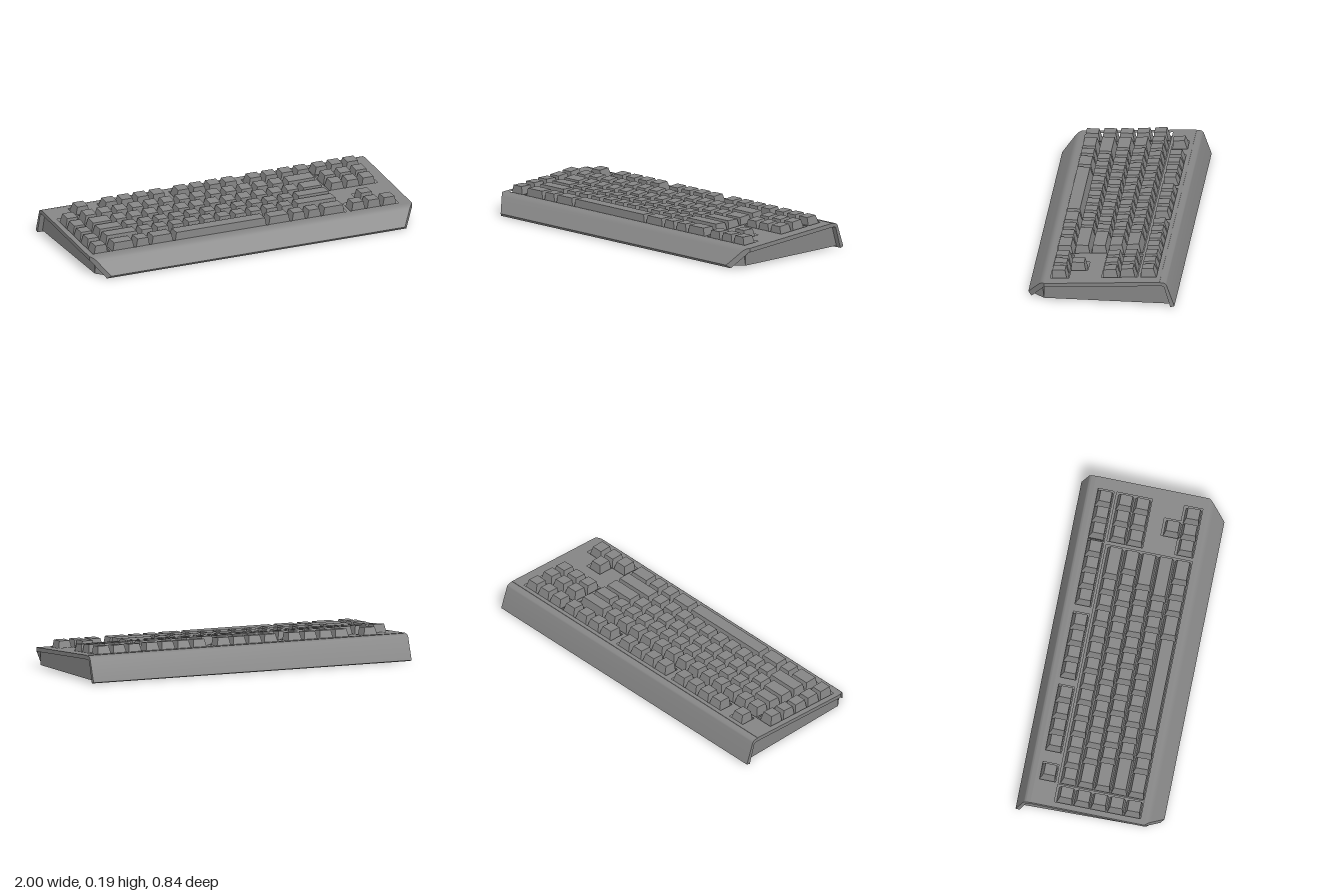
import * as THREE from 'three';
import { toCreasedNormals } from 'three/addons/utils/BufferGeometryUtils.js';

const mat = new THREE.MeshStandardMaterial({ color: 0x858585 });
const U = 0.0966;                       // pitch of one key
const X0 = -0.846, MACRO = -0.962, NAV = 0.634;
const FKEYS = [-0.668, -0.222, 0.226], FU = 0.0985;
const FRONT = 0.32, BACK = -0.31;       // ends of the flat deck
const deckY = z => 0.134 - 0.0625 * z;  // sloping deck surface
const THICK = 0.0235;

// rows: cell start z, then top face back/front z and back/front y
const rows = [
  { z: -0.320, top: [-0.290, -0.224, 0.195, 0.190] },
  { z: -0.198, top: [-0.174, -0.106, 0.189, 0.182] },
  { z: -0.100, top: [-0.077, -0.008, 0.179, 0.172] },
  { z: -0.003, top: [0.016, 0.087, 0.169, 0.169] },
  { z: 0.094, top: [0.113, 0.183, 0.165, 0.165] },
  { z: 0.191, top: [0.212, 0.283, 0.158, 0.158] },
];
const ones = n => Array(n).fill(1);
const mainRows = [
  null,
  [...ones(13), 2],
  [1.5, ...ones(12), 1.5],
  [1.75, ...ones(11), 2.25],
  [2.25, ...ones(10), 2.75],
  [1.5, 1, 1.5, 6, 1.5, 1, 1, 1.5],
];

function editVertices(geo, rule) {
  const p = geo.attributes.position, v = new THREE.Vector3();
  for (let i = 0; i < p.count; i++) {
    rule(v.fromBufferAttribute(p, i));
    p.setXYZ(i, v.x, v.y, v.z);
  }
  geo.computeVertexNormals();
  return geo;
}

function addMesh(parent, name, geo) {
  const mesh = new THREE.Mesh(geo, mat);
  mesh.name = name;
  parent.add(mesh);
}

// side profile (z, y) swept across the width, front corners cut off by the taper
function sweep(shape, halfWidth, taper) {
  const geo = new THREE.ExtrudeGeometry(shape, { depth: 2, bevelEnabled: false, curveSegments: 6 });
  geo.rotateY(-Math.PI / 2).translate(1, 0, 0);
  editVertices(geo, v => {
    v.x *= halfWidth - Math.max(0, v.z - FRONT) * taper;
  });
  return toCreasedNormals(geo, 0.6);
}

// flat sloping deck with wells for the key blocks
function deckGeometry() {
  const rect = (Type, x0, x1, z0, z1) => {
    const s = new Type();
    s.moveTo(x0, -z0).lineTo(x1, -z0).lineTo(x1, -z1).lineTo(x0, -z1).closePath();
    return s;
  };
  const pad = 0.005;
  const shape = rect(THREE.Shape, -1, 1, BACK - 0.025, FRONT);
  const well = (x0, x1, z0, z1) =>
    shape.holes.push(rect(THREE.Path, x0 - pad, x1 + pad, z0 - pad, z1 + pad));
  const f0 = rows[0].z, f1 = f0 + U, end = rows[5].z + U;
  well(X0, X0 + U, f0, f1);
  FKEYS.forEach(x => well(x, x + 4 * FU, f0, f1));
  well(NAV, NAV + 3 * U, f0, f1);
  well(NAV, NAV + 3 * U, rows[1].z, rows[2].z + U);
  well(MACRO, MACRO + U, rows[1].z, end);
  well(X0, X0 + 15 * U, rows[1].z, end);
  well(NAV + U, NAV + 2 * U, rows[4].z, rows[5].z - 0.011);
  well(NAV, NAV + 3 * U, rows[5].z, end);
  const geo = new THREE.ExtrudeGeometry(shape, { depth: THICK, bevelEnabled: false });
  geo.rotateX(-Math.PI / 2);
  return editVertices(geo, v => { v.y += deckY(v.z) - THICK; });
}

// tapered keycap standing in its well
function keyGeometry(x, width, row) {
  const [zb, zf, yb, yf] = row.top;
  return editVertices(new THREE.BoxGeometry(2, 2, 2), v => {
    const up = v.y > 0, front = v.z > 0;
    v.x = x + width / 2 + v.x * (width / 2 - (up ? 0.016 : 0.003));
    v.z = up ? (front ? zf : zb) : row.z + (front ? U - 0.001 : 0.005);
    v.y = up ? (front ? yf : yb) : deckY(v.z) - THICK - 0.003;
  });
}

export function createModel() {
  const model = new THREE.Group();
  model.name = 'keyboard';

  const shell = new THREE.Group();
  shell.name = 'topShell';
  model.add(shell);
  addMesh(shell, 'deck', deckGeometry());

  // front apron sloping down to the desk
  const apron = new THREE.Shape();
  apron.moveTo(FRONT, deckY(FRONT));
  apron.quadraticCurveTo(0.337, 0.113, 0.353, 0.096);
  apron.lineTo(0.42, 0.018).lineTo(0.4, 0).lineTo(0.335, 0.076);
  apron.quadraticCurveTo(0.328, 0.088, FRONT, deckY(FRONT) - THICK);
  addMesh(shell, 'frontApron', sweep(apron, 1, 0.9));

  // back lip rounding over and down
  const lip = new THREE.Shape();
  lip.moveTo(BACK, deckY(BACK)).lineTo(-0.352, 0.152);
  lip.quadraticCurveTo(-0.37, 0.151, -0.376, 0.134);
  lip.lineTo(-0.42, 0.009).lineTo(-0.397, 0.002).lineTo(-0.363, 0.117);
  lip.quadraticCurveTo(-0.36, 0.131, -0.348, 0.131);
  lip.lineTo(BACK, deckY(BACK) - THICK);
  addMesh(shell, 'backLip', sweep(lip, 1, 0));

  // base tray, inset beneath the shell
  const under = z => deckY(z) - THICK - 0.001;
  const tray = new THREE.Shape();
  tray.moveTo(-0.395, 0.01).lineTo(-0.363, 0.117).lineTo(-0.358, 0.127).lineTo(-0.348, 0.1305);
  tray.lineTo(BACK, under(BACK)).lineTo(FRONT, under(FRONT)).lineTo(0.325, 0.086).lineTo(0.325, 0.01);
  addMesh(model, 'baseTray', sweep(tray, 0.97, 0));

  // wedge filling the space behind the apron
  const wedge = new THREE.Shape();
  wedge.moveTo(0.325, 0.01).lineTo(0.332, 0.079).lineTo(0.392, 0.01);
  addMesh(model, 'trayFront', sweep(wedge, 0.975, 0.9));

  // keys
  const keys = new THREE.Group();
  keys.name = 'keys';
  model.add(keys);
  const key = (name, x, width, r) => addMesh(keys, name, keyGeometry(x, width, rows[r]));

  key('escapeKey', X0, U, 0);
  FKEYS.forEach(x => {
    for (let i = 0; i < 4; i++) key('functionKey', x + i * FU, FU, 0);
  });
  for (let r = 1; r < 6; r++) {
    key('macroKey', MACRO, U, r);
    let x = X0;
    for (const w of mainRows[r]) {
      key(w === 6 ? 'spaceBar' : 'mainKey', x, w * U, r);
      x += w * U;
    }
  }
  for (let i = 0; i < 3; i++) {
    for (const r of [0, 1, 2]) key('navigationKey', NAV + i * U, U, r);
    key('arrowKey', NAV + i * U, U, 5);
  }
  key('arrowKey', NAV + U, U, 4);
  return model;
}
